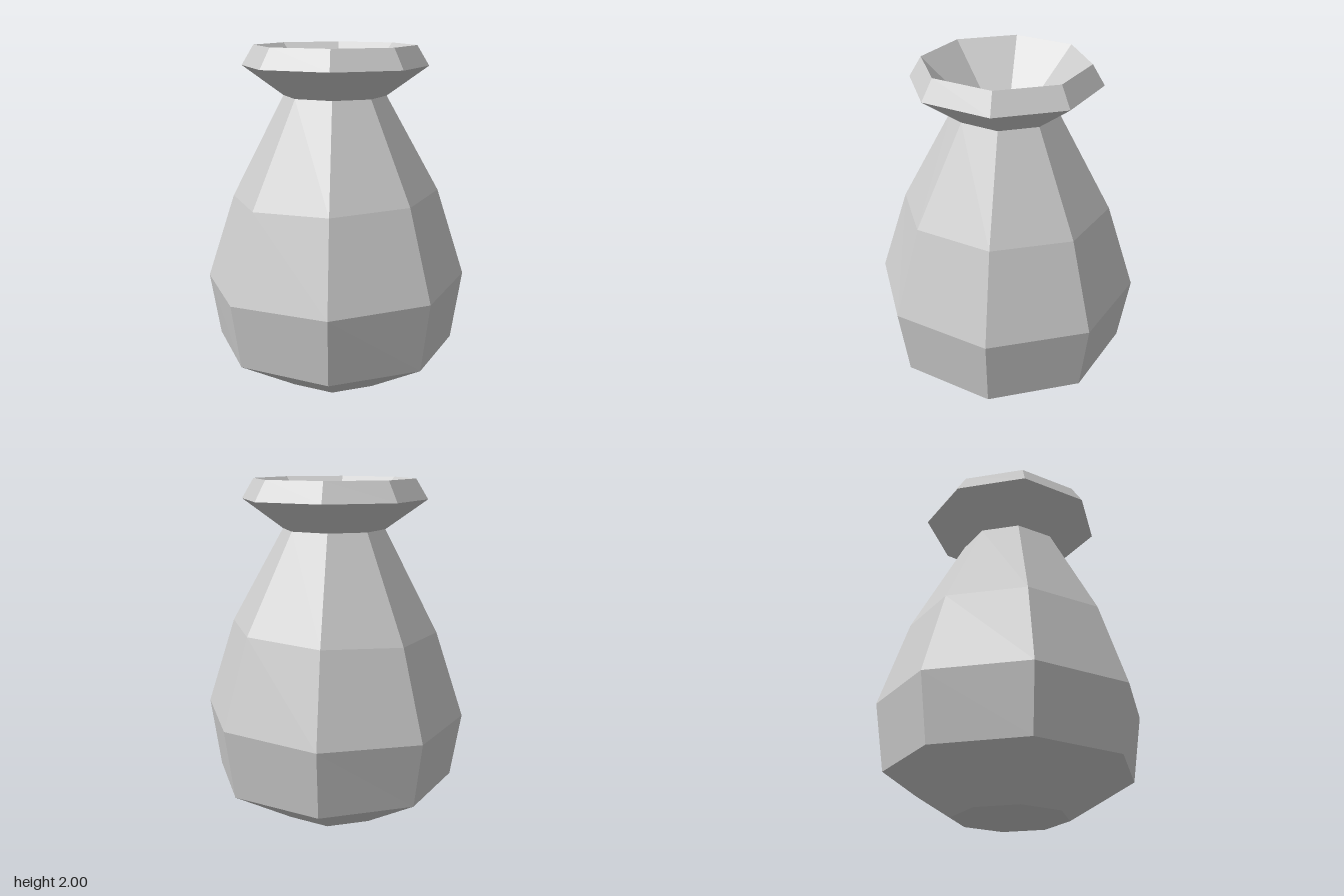
import * as THREE from 'three';

// Ring profile: radius, height, sideways tilt of the ring (rise per unit of x)
const OUTER = [
  [0, 0, 0], [0.33, 0, 0], [0.713, 0.235, 0], [0.773, 0.63, 0.026],
  [0.607, 1.14, 0.04], [0.298, 1.715, 0], [0.537, 1.885, 0], [0.467, 2, 0],
];
const INNER = [
  [0.467, 2, 0], [0.19, 1.72, 0], [0.5, 1.12, 0.04],
  [0.665, 0.62, 0.026], [0.62, 0.3, 0], [0.3, 0.1, 0], [0, 0.1, 0],
];

// Eight-sided faceted shell turned from a ring profile
function facetedShell(name, rings, material) {
  const lathe = new THREE.LatheGeometry(rings.map(([r, y]) => new THREE.Vector2(r, y)), 8);
  const pos = lathe.attributes.position;
  for (let i = 0; i < pos.count; i++) {
    const tilt = rings[i % rings.length][2];
    pos.setY(i, pos.getY(i) + tilt * pos.getX(i));
  }
  const geometry = lathe.toNonIndexed();
  geometry.computeVertexNormals();
  const mesh = new THREE.Mesh(geometry, material);
  mesh.name = name;
  return mesh;
}

export function createModel() {
  const group = new THREE.Group();
  group.name = 'vase';
  const material = new THREE.MeshStandardMaterial({ color: 0xcccccc, flatShading: true });
  // Outside: base, belly, neck and flared rim
  group.add(facetedShell('outerWall', OUTER, material));
  // Inside: funnel mouth, hollow belly and floor
  group.add(facetedShell('innerWall', INNER, material));
  return group;
}
